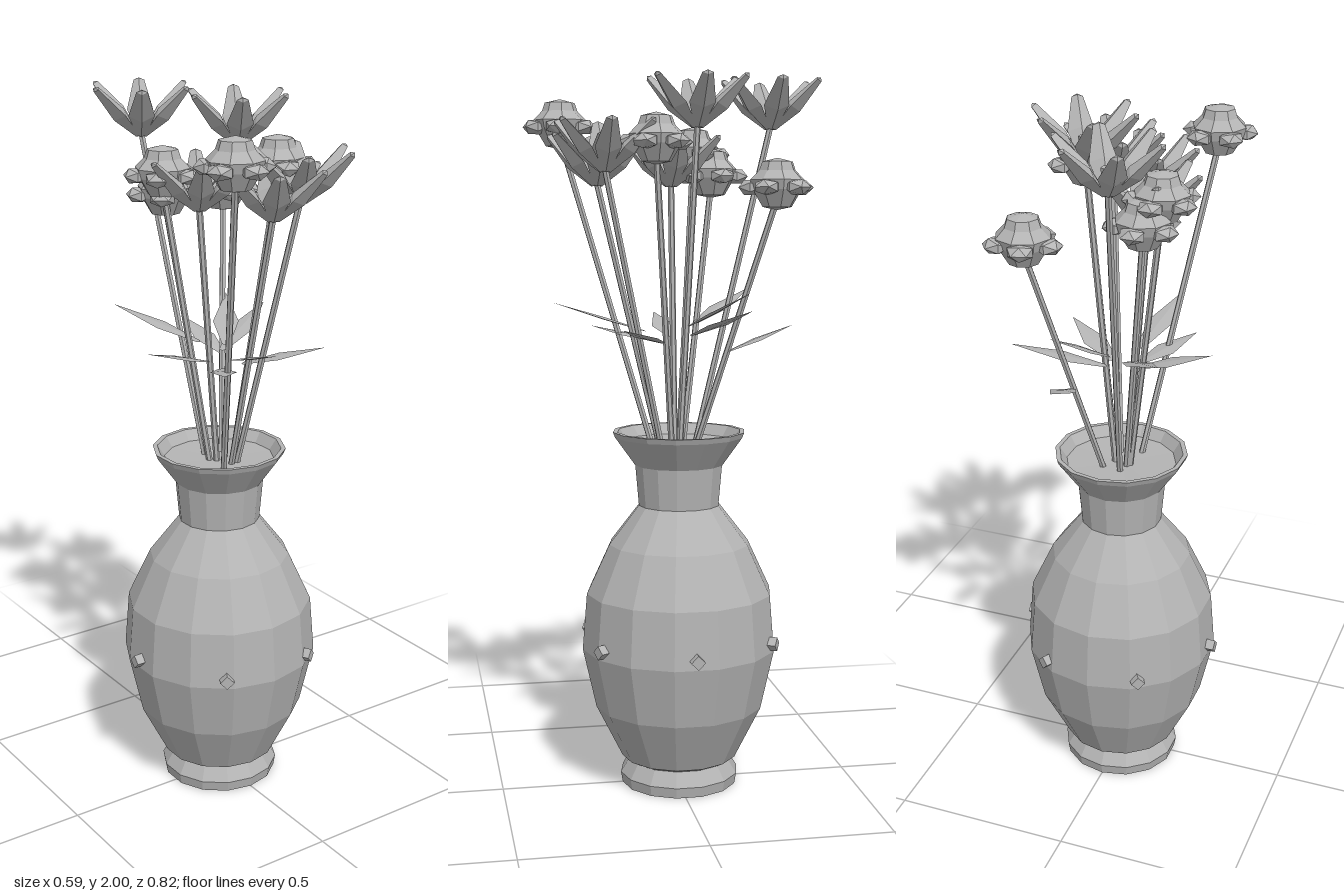
import * as THREE from 'three';

const V = (x, y, z) => new THREE.Vector3(x, y, z);
const profile = (pts, sides) => new THREE.LatheGeometry(pts.map(p => new THREE.Vector2(...p)), sides);

export function createModel() {
  const model = new THREE.Group();
  const grey = new THREE.MeshStandardMaterial({ color: 0xb4b4b4, flatShading: true });
  grey.name = 'grey';

  const add = (parent, name, geometry) => {
    const mesh = new THREE.Mesh(geometry, grey);
    mesh.name = name;
    parent.add(mesh);
    return mesh;
  };

  // Four-sided spindle between two points, its wide axis kept level
  const spindle = (parent, name, from, to, width, tip, thickness) => {
    const dir = to.clone().sub(from), len = dir.length();
    dir.normalize();
    const side = dir.clone().cross(V(0, 1, 0)).normalize();
    const normal = side.clone().cross(dir);
    const geo = profile([[0, 0], [width * 0.3, 0.005], [width, len * 0.45], [tip, len * 0.96], [0, len]], 4);
    geo.scale(1, 1, thickness);
    geo.applyMatrix4(new THREE.Matrix4().makeBasis(side, dir, normal).setPosition(from));
    return add(parent, name, geo);
  };

  // Vase: foot, belly, neck, flared lip and the closed mouth
  const vase = new THREE.Group();
  vase.name = 'vase';
  vase.position.z = -0.01;
  model.add(vase);
  add(vase, 'vaseBody', profile([
    [0, 0], [0.165, 0], [0.17, 0.03], [0.145, 0.07], [0.165, 0.08], [0.24, 0.23], [0.278, 0.4],
    [0.265, 0.56], [0.2, 0.7], [0.115, 0.81], [0.125, 0.925], [0.182, 1.005], [0.188, 1.02],
    [0.175, 1.02], [0.155, 0.99], [0, 0.985],
  ], 14));

  // Diamond studs around the belly
  for (let i = 0; i < 6; i++) {
    const geo = new THREE.CylinderGeometry(0.02, 0.02, 0.04, 4);
    geo.rotateZ(-Math.PI / 2).translate(0.273, 0.427, 0).rotateY(i * Math.PI / 3);
    add(vase, 'stud', geo);
  }

  // Straight stem fanning out from the mouth
  const stem = (parent, x, y, z) => {
    const path = new THREE.LineCurve3(V(x * 0.2, 0.97, z * 0.2), V(x, y, z));
    add(parent, 'stem', new THREE.TubeGeometry(path, 1, 0.009, 6));
  };

  // Star flowers: six upward petals about a small pistil
  const stars = [[-0.07, 1.86, -0.285], [0.085, 1.855, -0.045], [0.105, 1.735, 0.21],
    [-0.07, 1.7, 0], [0.01, 1.7, 0.22]];
  for (const [x, y, z] of stars) {
    const flower = new THREE.Group();
    flower.name = 'starFlower';
    model.add(flower);
    stem(flower, x, y + 0.01, z);
    for (let i = 0; i < 6; i++) {
      const a = i * Math.PI / 3, c = Math.cos(a), s = Math.sin(a);
      spindle(flower, 'petal', V(x + 0.008 * c, y, z + 0.008 * s),
        V(x + 0.145 * c, y + 0.14, z + 0.145 * s), 0.036, 0.015, 0.6);
    }
    add(flower, 'pistil', new THREE.CylinderGeometry(0.018, 0.012, 0.07, 6)).position.set(x, y + 0.035, z);
  }

  // Round blossoms: faceted dome with five chunky petals
  const blossoms = [[0.175, 1.695, -0.245], [-0.135, 1.79, -0.075], [-0.165, 1.865, 0.3],
    [0.13, 1.815, 0.075], [-0.1, 1.73, -0.12]];
  blossoms.forEach(([x, y, z], n) => {
    const flower = new THREE.Group();
    flower.name = 'roundBlossom';
    model.add(flower);
    stem(flower, x, y - 0.03, z);
    add(flower, 'dome', profile([[0, -0.06], [0.04, -0.052], [0.068, -0.005], [0.075, 0.02],
      [0.05, 0.045], [0.042, 0.068], [0, 0.078]], 8)).position.set(x, y, z);
    for (let i = 0; i < 5; i++) {
      const a = 0.65 + n * 0.4 + i * Math.PI * 0.4;
      const petal = add(flower, 'roundPetal', new THREE.IcosahedronGeometry(0.038, 0));
      petal.position.set(x + 0.07 * Math.cos(a), y, z + 0.07 * Math.sin(a));
      petal.scale.y = 0.6;
      petal.rotation.y = -a;
    }
  });

  // Leaves: base point, then tip
  const leaves = [
    [0.03, 1.29, -0.04, 0.26, 1.37, -0.16], [-0.04, 1.28, 0, -0.25, 1.34, 0.02],
    [-0.03, 1.32, -0.06, -0.19, 1.41, -0.25], [-0.02, 1.3, 0.08, -0.06, 1.38, 0.335],
    [0.04, 1.27, 0.04, 0.22, 1.32, 0.18], [-0.03, 1.27, 0.05, -0.14, 1.31, 0.22],
    [0.095, 1.25, -0.13, 0.08, 1.32, -0.315], [0.03, 1.31, -0.02, 0.14, 1.41, -0.18],
  ];
  for (const [x, y, z, tx, ty, tz] of leaves) {
    spindle(model, 'leaf', V(x, y, z), V(tx, ty, tz), 0.036, 0.003, 0.1);
  }
  return model;
}
